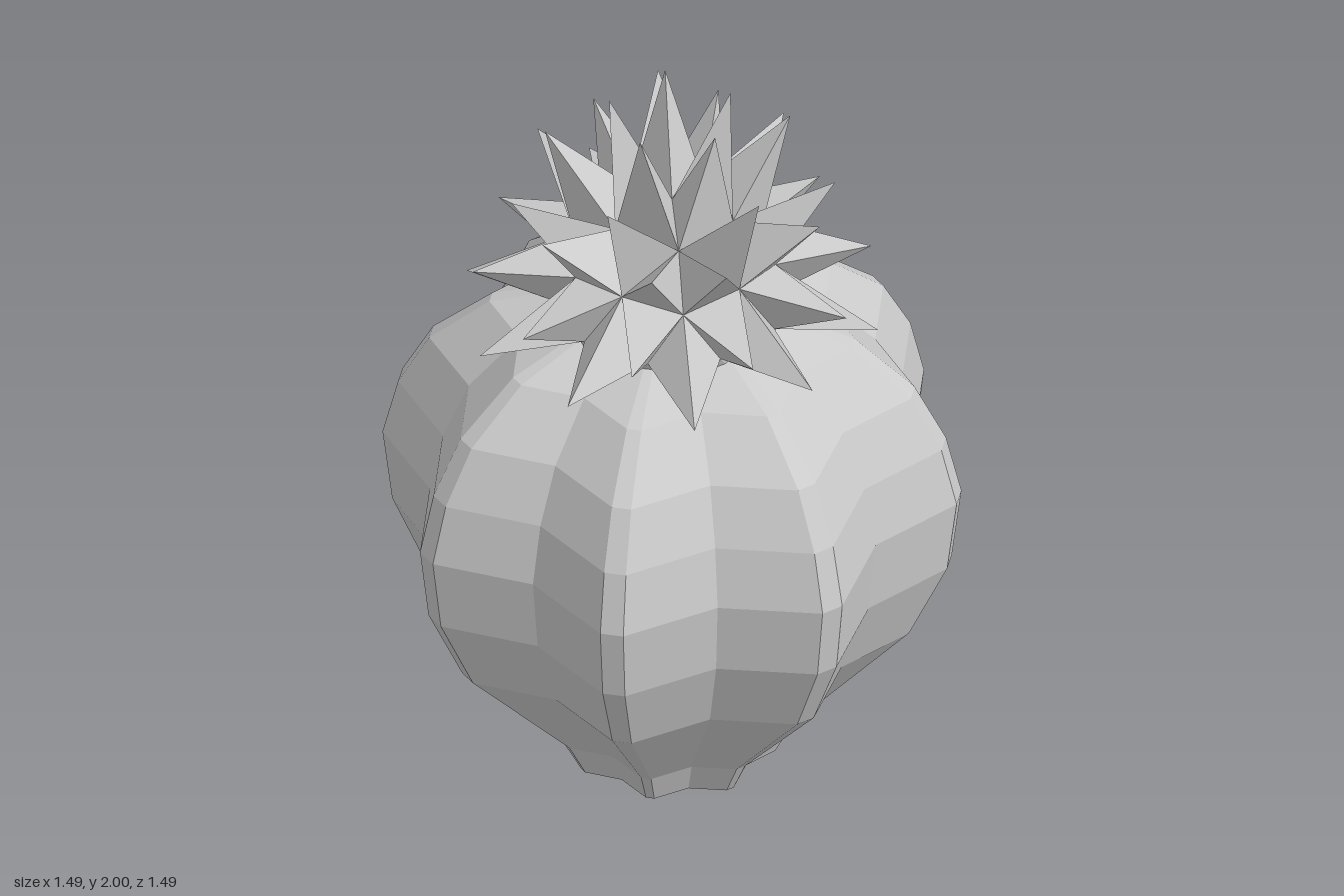
import * as THREE from 'three';

const material = new THREE.MeshStandardMaterial({
  color: 0xcccccc, flatShading: true, side: THREE.DoubleSide,
});

function meshFrom(name, positions, index) {
  const geometry = new THREE.BufferGeometry();
  geometry.setAttribute('position', new THREE.Float32BufferAttribute(positions, 3));
  if (index) geometry.setIndex(index);
  geometry.computeVertexNormals();
  const mesh = new THREE.Mesh(geometry, material);
  mesh.name = name;
  return mesh;
}

// Ribbed body: eight narrow-tipped ribs with a valley between each pair
function createBody() {
  const profile = [ // rib radius, height
    [0.27, 0], [0.32, 0.1], [0.62, 0.44], [0.72, 0.665], [0.745, 0.875],
    [0.705, 1.04], [0.625, 1.19], [0.47, 1.325], [0.25, 1.4],
  ];
  const ribs = 8, sides = ribs * 3, positions = [], index = [];
  for (const [r, y] of profile) {
    for (let i = 0; i < ribs; i++) {
      const a = (i / ribs) * Math.PI * 2;
      const points = [[a - 0.04, r], [a + 0.04, r], [a + Math.PI / ribs, r * 0.84]];
      for (const [angle, radius] of points) {
        positions.push(radius * Math.cos(angle), y, radius * Math.sin(angle));
      }
    }
  }
  // Centres of the bottom and top caps
  const bottom = positions.length / 3, top = bottom + 1;
  positions.push(0, 0, 0, 0, 1.42, 0);
  const last = (profile.length - 1) * sides;
  for (let i = 0; i < sides; i++) {
    const j = (i + 1) % sides;
    for (let k = 0; k < last; k += sides) {
      index.push(k + i, k + sides + i, k + j, k + j, k + sides + i, k + sides + j);
    }
    index.push(bottom, i, j, top, last + j, last + i);
  }
  return meshFrom('ribbedBody', positions, index);
}

// Spiky crown: a once-divided icosahedron with a spike on every exposed face
function createCrown() {
  const ball = new THREE.IcosahedronGeometry(1, 1);
  ball.rotateZ(-Math.atan2(1, (1 + Math.sqrt(5)) / 2)); // one corner straight up
  const source = ball.getAttribute('position');
  const positions = [];
  const addTriangle = (...corners) => corners.forEach((p) => positions.push(p.x, p.y, p.z));

  for (let f = 0; f < source.count; f += 3) {
    const corners = [0, 1, 2].map((k) => new THREE.Vector3().fromBufferAttribute(source, f + k));
    const dir = new THREE.Vector3();
    corners.forEach((p) => dir.add(p));
    dir.normalize();
    const [a, b, c] = corners.map((p) => p.multiplyScalar(0.3).add(new THREE.Vector3(0, 1.41, 0)));

    if (dir.y > 0.1) {
      // Tips spread over a taller, lower-centred ellipsoid than the core
      const tip = new THREE.Vector3(dir.x * 0.542, 1.253 + dir.y * 0.783, dir.z * 0.542);
      addTriangle(a, b, tip);
      addTriangle(b, c, tip);
      addTriangle(c, a, tip);
    } else {
      addTriangle(a, b, c);
    }
  }
  return meshFrom('spikyCrown', positions);
}

export function createModel() {
  const model = new THREE.Group();
  model.name = 'ribbedCactus';
  model.add(createBody(), createCrown());
  return model;
}
